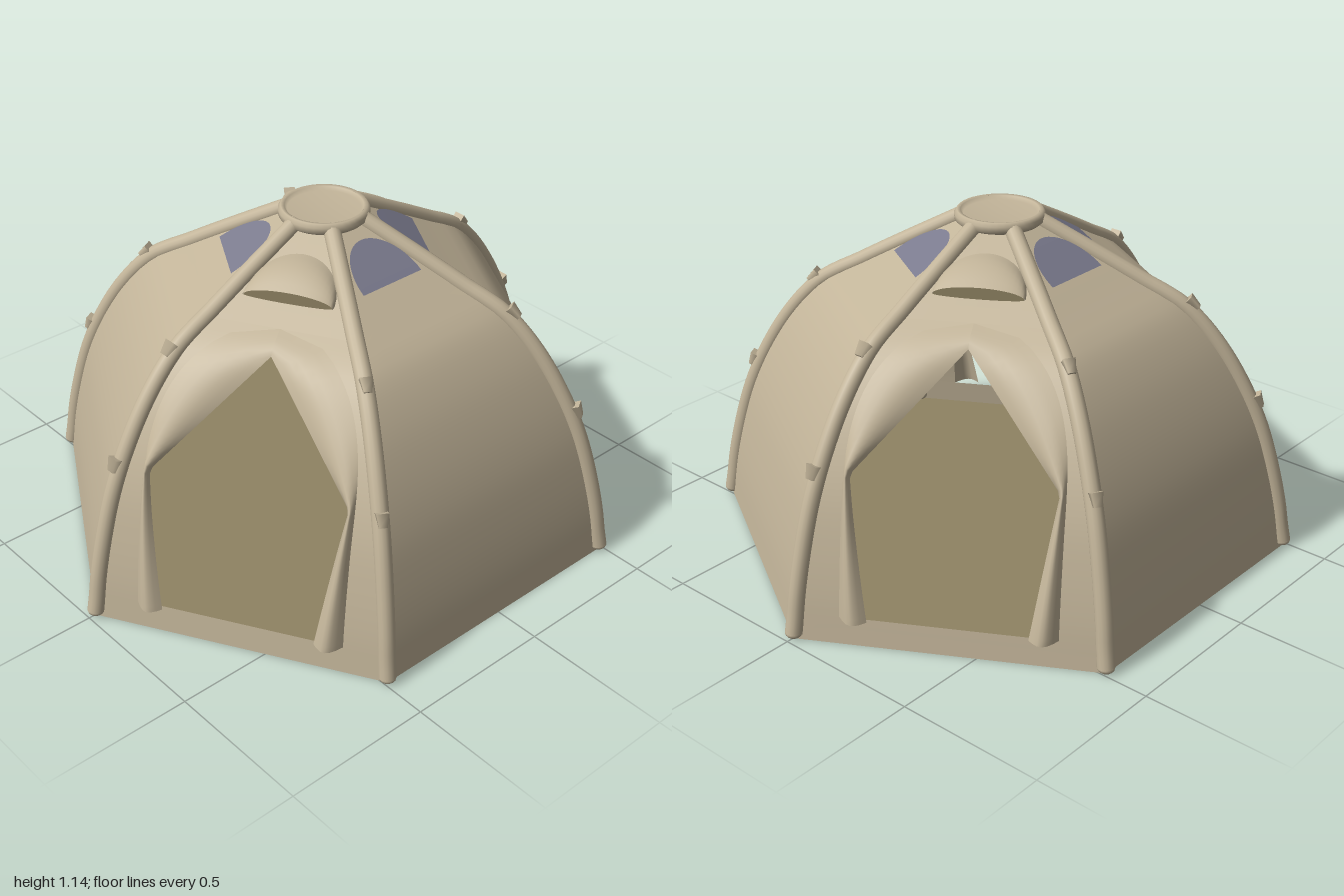
import * as THREE from 'three';

const COS30 = Math.cos(Math.PI / 6), TAN30 = Math.tan(Math.PI / 6);

// Rib profile: corner radius against height, from the ground to the crown
const profile = new THREE.CatmullRomCurve3(
  [[0.975, 0], [0.952, 0.15], [0.917, 0.3], [0.87, 0.45], [0.8, 0.6], [0.71, 0.74],
   [0.6, 0.855], [0.48, 0.922], [0.36, 0.988], [0.24, 1.052], [0.12, 1.115]]
    .map(([r, y]) => new THREE.Vector3(r, y, 0)));
const samples = profile.getPoints(80);

// Distance of a wall panel from the axis at height y
function wall(y) {
  let i = 1;
  while (i < samples.length - 1 && samples[i].y < y) i++;
  const p = samples[i - 1], q = samples[i];
  return COS30 * THREE.MathUtils.lerp(p.x, q.x, (y - p.y) / (q.y - p.y));
}

// Surface from a rule fn(u, v) -> [x, y, z]
function surface(nu, nv, fn) {
  const pos = [], idx = [];
  for (let j = 0; j <= nv; j++)
    for (let i = 0; i <= nu; i++) pos.push(...fn(i / nu, j / nv));
  for (let j = 0; j < nv; j++)
    for (let i = 0; i < nu; i++) {
      const a = j * (nu + 1) + i, b = a + nu + 1;
      idx.push(a, a + 1, b + 1, a, b + 1, b);
    }
  const g = new THREE.BufferGeometry();
  g.setAttribute('position', new THREE.Float32BufferAttribute(pos, 3));
  g.setIndex(idx);
  g.computeVertexNormals();
  return g;
}

// Part of a wall between two heights, with left and right edges as rules of y
const wallPart = (y0, y1, left, right, nv) => surface(6, nv, (u, v) => {
  const y = THREE.MathUtils.lerp(y0, y1, v);
  return [THREE.MathUtils.lerp(left(y), right(y), u), y, wall(y)];
});

const halfWidth = (y) => wall(y) * TAN30;
const SILL = 0.09, ARCH = 0.92, TOP = 1.112;

// Half width of the arched cut in a door wall
function archHalf(y) {
  const t = THREE.MathUtils.clamp((y - 0.45) / (ARCH - 0.45), 0, 1);
  return 0.34 * Math.pow(1 - t ** 3, 0.4);
}

// Inner edge of the doorway: narrow sill, wide shoulders, pointed top
function doorEdge(v) {
  const y = SILL + (0.87 - SILL) * v;
  if (y < 0.53) {
    const t = (y - SILL) / (0.53 - SILL);
    return [0.25 + 0.07 * t, y, wall(y) + 0.015 * (1 - t)];
  }
  const t = (y - 0.53) / 0.34;
  return [0.32 * (1 - t), y, THREE.MathUtils.lerp(wall(0.53), wall(0.87), t)];
}

export function createModel() {
  const model = new THREE.Group();
  const mat = (name, color, side = THREE.DoubleSide) => {
    const m = new THREE.MeshStandardMaterial({ color, side });
    m.name = name;
    return m;
  };
  const canvas = mat('tan canvas', 0xc2b499);
  const brown = mat('brown groundsheet', 0x8f8363);
  const glass = mat('grey blue window', 0x7b7b8e);

  const add = (parent, name, geometry, material) => {
    const m = new THREE.Mesh(geometry, material);
    m.name = name;
    parent.add(m);
    return m;
  };

  // Plain wall with a half round window near the crown
  function plainWall(g) {
    add(g, 'wallPanel', wallPart(0, TOP, (y) => -halfWidth(y), halfWidth, 36), canvas);
    add(g, 'window', surface(8, 14, (u, v) => {
      const t = Math.sin(v * Math.PI / 2), y = 0.985 + 0.09 * t;
      return [(u * 2 - 1) * 0.122 * Math.cos(v * Math.PI / 2), y + 0.006, wall(y) + 0.004];
    }), glass);
  }

  // Wall with an open doorway, flared flaps and a hooded vent
  function doorWall(g) {
    add(g, 'lowerWall', wallPart(0, SILL, (y) => -halfWidth(y), halfWidth, 3), canvas);
    add(g, 'upperWall', wallPart(ARCH, TOP, (y) => -halfWidth(y), halfWidth, 6), canvas);
    add(g, 'leftJambWall', wallPart(SILL, ARCH, archHalf, halfWidth, 40), canvas);
    add(g, 'rightJambWall', wallPart(SILL, ARCH, (y) => -halfWidth(y), (y) => -archHalf(y), 40), canvas);

    for (const side of [-1, 1]) {
      add(g, 'doorFlap', surface(6, 40, (u, v) => {
        const k = side > 0 ? 1 - u : u;          // 0 at the wall, 1 at the opening
        const y = SILL + (ARCH - SILL) * v;
        const [ex, ey, ez] = doorEdge(v);
        const bulge = 0.035 * Math.sin(Math.PI * k) * (1 - 0.5 * v);
        return [side * THREE.MathUtils.lerp(archHalf(y), ex, k),
          THREE.MathUtils.lerp(y, ey, k), THREE.MathUtils.lerp(wall(y), ez, k) + bulge];
      }), canvas);
    }

    // Hood from a low rim back up to an arch on the wall, with a dark mouth
    const rimZ = wall(0.975) + 0.022;
    add(g, 'ventHood', surface(20, 6, (u, v) => {
      const a = Math.PI * (1 - u), s = Math.sin(a);
      const backY = 0.975 + 0.085 * s;
      return [0.145 * Math.cos(a),
        THREE.MathUtils.lerp(0.978 + 0.032 * s, backY, v) + 0.018 * Math.sin(Math.PI * v) * s,
        THREE.MathUtils.lerp(rimZ, wall(backY), v)];
    }), canvas);
    add(g, 'ventMouth', surface(20, 2, (u, v) => {
      const a = Math.PI * (1 - u), s = Math.sin(a);
      return [0.143 * Math.cos(a), 0.978 + s * (0.03 * v - 0.008 * (1 - v)), rimZ - 0.003];
    }), brown);
  }

  // Six walls, front first, doors on two opposite ones
  for (let k = 0; k < 6; k++) {
    const g = new THREE.Group();
    const isDoor = k === 2 || k === 5;
    g.name = isDoor ? 'doorWall' : 'plainWall';
    (isDoor ? doorWall : plainWall)(g);
    g.rotation.y = k * Math.PI / 3;
    model.add(g);
  }

  // Six inflated ribs over the corners, each with two strap clips
  const ribPath = new THREE.CatmullRomCurve3(
    samples.filter((p, i) => i % 4 === 0 && p.y < 1.12)
      .map((p) => new THREE.Vector3(p.x - 0.004, Math.max(p.y, 0.02), 0)));
  const ribGeo = new THREE.TubeGeometry(ribPath, 48, 0.028, 14, false);
  const footGeo = new THREE.SphereGeometry(0.028, 14, 8);
  footGeo.scale(1, 0.7, 1);
  const clipGeo = new THREE.CylinderGeometry(0.028, 0.018, 0.045, 4, 1);
  clipGeo.rotateY(Math.PI / 4);
  for (let k = 0; k < 6; k++) {
    const rib = new THREE.Group();
    rib.name = 'rib';
    add(rib, 'ribTube', ribGeo, canvas);
    add(rib, 'ribFoot', footGeo, canvas).position.set(0.971, 0.022, 0);
    for (const y of [0.52, 0.84]) {
      const i = samples.findIndex((p) => p.y > y);
      const d = samples[i].clone().sub(samples[i - 1]).normalize();
      const clip = add(rib, 'strapClip', clipGeo, canvas);
      clip.position.set(samples[i].x + d.y * 0.02, samples[i].y - d.x * 0.02, 0);
      clip.rotation.z = Math.atan2(d.y, d.x) - Math.PI / 2;
    }
    rib.rotation.y = k * Math.PI / 3;
    model.add(rib);
  }

  // Crown ring with a sunken cap
  const ring = [[0, 1.1], [0.135, 1.1], [0.146, 1.11], [0.147, 1.128], [0.138, 1.14],
    [0.126, 1.138], [0.118, 1.126], [0, 1.126]].map(([r, y]) => new THREE.Vector2(r, y));
  add(model, 'crownRing', new THREE.LatheGeometry(ring, 40), canvas);

  // Six sided groundsheet
  const floor = add(model, 'groundsheet', new THREE.CylinderGeometry(0.973, 0.975, 0.006, 6), brown);
  floor.position.y = 0.003;
  floor.rotation.y = Math.PI / 6;

  return model;
}
